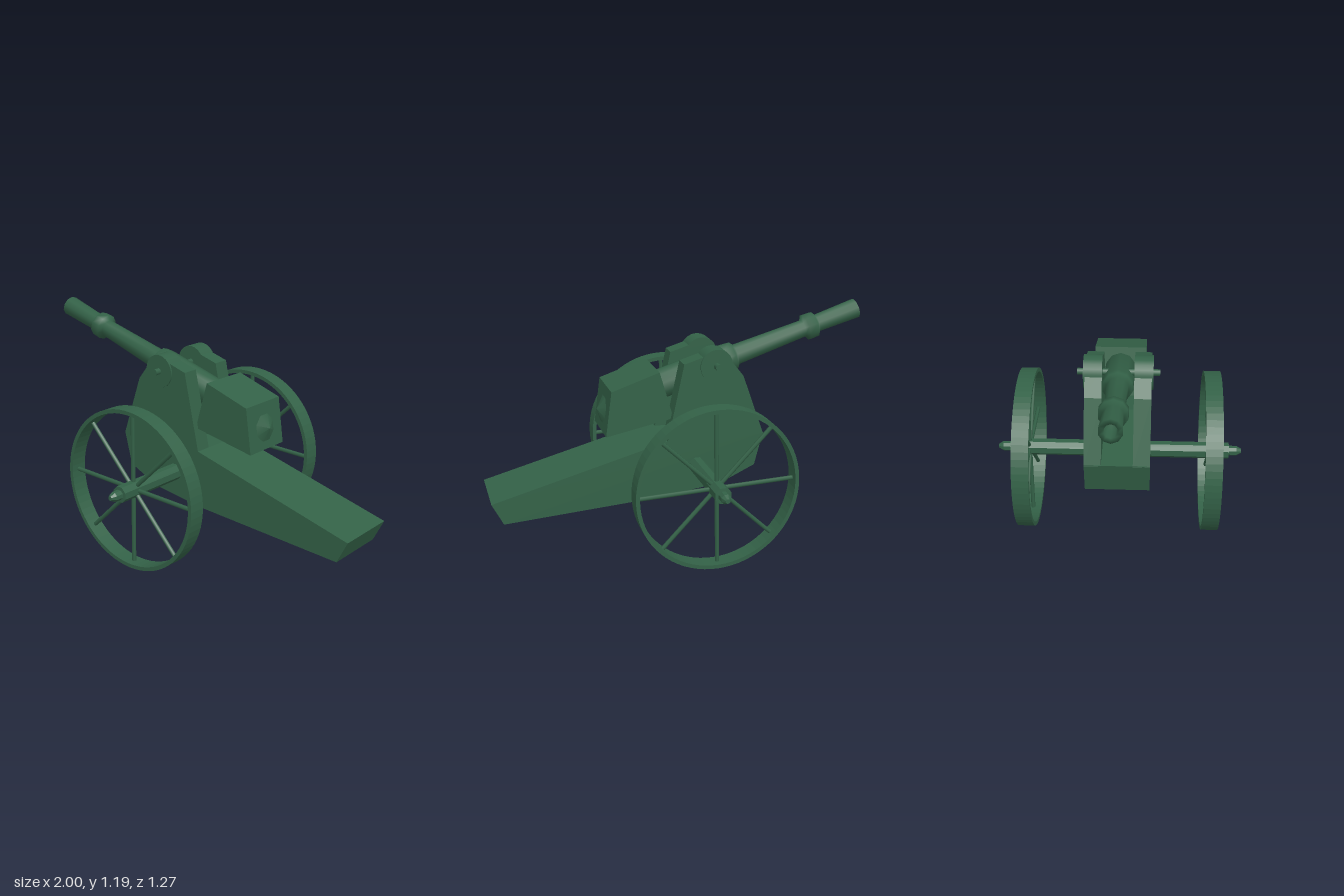
import * as THREE from 'three';

const material = new THREE.MeshStandardMaterial({ color: 0x336147, side: THREE.DoubleSide });

function add(parent, name, geometry, x = 0, y = 0, z = 0) {
  const mesh = new THREE.Mesh(geometry, material);
  mesh.name = name;
  mesh.position.set(x, y, z);
  parent.add(mesh);
  return mesh;
}

// Side outline extruded across z, from z0 to z1
function slab(points, z0, z1) {
  const shape = new THREE.Shape(points.map(([x, y]) => new THREE.Vector2(x, y)));
  return new THREE.ExtrudeGeometry(shape, { depth: z1 - z0, bevelEnabled: false }).translate(0, 0, z0);
}

// Revolved profile of [radius, distance]; sharp splits the normals at every profile corner
function turned(profile, sides) {
  return new THREE.LatheGeometry(profile.map(([r, t]) => new THREE.Vector2(r, t)), sides, Math.PI / sides);
}

function makeWheel(z) {
  const wheel = new THREE.Group();
  wheel.name = 'wheel';
  const radius = 0.415, width = 0.085;
  const rim = new THREE.Shape().absarc(0, 0, radius, 0, Math.PI * 2);
  rim.holes.push(new THREE.Path().absarc(0, 0, radius - 0.02, 0, Math.PI * 2, true));
  add(wheel, 'rim', new THREE.ExtrudeGeometry(rim, { depth: width, bevelEnabled: false, curveSegments: 36 })
    .translate(0, 0, -width / 2));
  for (let i = 0; i < 8; i++) {
    const spoke = add(wheel, 'spoke', new THREE.CylinderGeometry(0.011, 0.011, 0.385, 6).translate(0, 0.21, 0));
    spoke.rotation.z = (i * Math.PI) / 4 - 0.02;
  }
  wheel.position.set(-0.055, radius, z);
  return wheel;
}

export function createModel() {
  const cannon = new THREE.Group();
  cannon.name = 'fieldCannon';

  // Solid trail running back to the ground end
  add(cannon, 'trail', slab([
    [-0.415, 0.555], [-0.37, 0.38], [-0.19, 0.3], [0.125, 0.26],
    [0.94, 0.217], [0.995, 0.33], [0.1, 0.56],
  ], -0.162, 0.162));

  // Cheeks with round trunnion caps
  const pivot = [-0.155, 0.935];
  for (const side of [-1, 1]) {
    const cheek = slab([
      [-0.415, 0.55], [0.1, 0.555], [0.013, 0.955], [-0.09, 0.985], [-0.21, 0.985], [-0.3, 0.87],
    ], -0.042, 0.042);
    add(cannon, 'cheek', cheek, 0, 0, side * 0.12);
    add(cannon, 'trunnionCap', new THREE.CylinderGeometry(0.085, 0.085, 0.092, 20).rotateX(Math.PI / 2),
      pivot[0], pivot[1], side * 0.124);
    cannon.add(makeWheel(side * 0.4725));
  }
  add(cannon, 'trunnionPin', new THREE.CylinderGeometry(0.017, 0.017, 0.405, 8).rotateX(Math.PI / 2), ...pivot, 0);

  // Axle with stepped, pointed ends
  const axleEnd = [[0.043, 0.57], [0.026, 0.571], [0.026, 0.61], [0.012, 0.635], [0, 0.635]];
  const axle = [...axleEnd.map(([r, t]) => [r, -t]).reverse(), ...axleEnd];
  add(cannon, 'axle', turned(axle, 8).toNonIndexed().rotateX(Math.PI / 2), -0.055, 0.415, 0)
    .geometry.computeVertexNormals();

  // Barrel, turned from the bore out to the muzzle and back to the breech
  const barrel = add(cannon, 'barrel', turned([
    [0, 0.1], [0.03, 0.1], [0.03, 0], [0.053, 0], [0.047, 0.23],
    [0.068, 0.245], [0.07, 0.295], [0.046, 0.31], [0.055, 0.7],
    [0.074, 0.715], [0.078, 0.76], [0.078, 1.2], [0, 1.2],
  ], 10), -0.985, 1.135);
  barrel.rotation.z = -Math.PI / 2 - 0.288;

  // Breech block with a shallow cone on its rear face
  add(cannon, 'breechBlock', slab([
    [0.131, 0.917], [0.06, 0.671], [0.409, 0.605], [0.377, 0.837],
  ], -0.132, 0.132));
  const cone = add(cannon, 'breechCone', new THREE.ConeGeometry(0.08, 0.035, 8), 0.408, 0.712, 0);
  cone.geometry.rotateY(Math.PI / 8);
  cone.rotation.z = -Math.PI / 2 + 0.13;

  return cannon;
}
